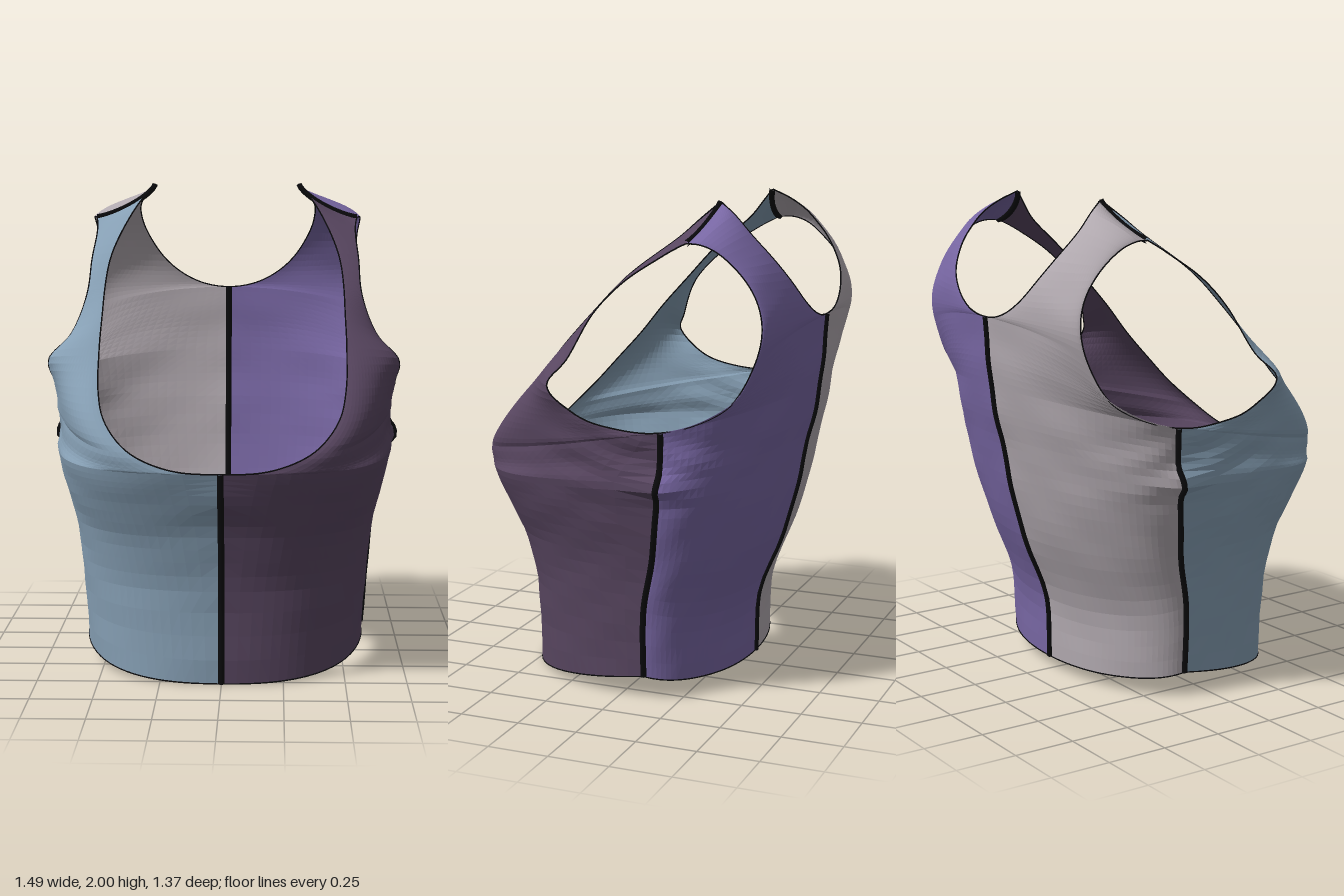
import * as THREE from 'three';

// Each row runs from the inner edge (centre line, then neckline)
// to the outer edge (side seam, then armhole): [inner xyz, outer xyz, roundness]
const FRONT = [
  [0, 0.01, 0.54, 0.59, 0.106, -0.11, 2.4],
  [0, 0.39, 0.54, 0.61, 0.39, -0.12, 2.6],
  [0, 0.62, 0.585, 0.64, 0.62, -0.17, 2.9],
  [0, 0.8, 0.652, 0.68, 0.8, -0.2, 3.3],
  [0, 0.89, 0.678, 0.705, 0.95, -0.225, 3.5],
  [0.2, 0.905, 0.675, 0.70, 1.06, -0.23, 2.75],
  [0.36, 0.97, 0.65, 0.715, 1.15, -0.235, 2.1],
  [0.46, 1.08, 0.56, 0.71, 1.147, -0.07, 2.05],
  [0.495, 1.2, 0.46, 0.71, 1.19, 0.116, 1.9],
  [0.5, 1.32, 0.35, 0.715, 1.3, 0.243, 1.6],
  [0.5, 1.45, 0.245, 0.63, 1.39, 0.196, 1.4],
  [0.495, 1.58, 0.125, 0.57, 1.56, 0.116, 1.3],
  [0.475, 1.72, -0.01, 0.56, 1.7, -0.02, 1.2],
  [0.41, 1.87, -0.2, 0.555, 1.8, -0.17, 1],
  [0.37, 1.935, -0.265, 0.558, 1.835, -0.23, 0.85],
  [0.315, 2, -0.33, 0.565, 1.86, -0.28, 0.75],
];
const BACK = [
  [0, 0.06, -0.385, 0, 0, 0, 1.95],
  [0, 0.32, -0.395, 0, 0, 0, 2],
  [0, 0.6, -0.5, 0, 0, 0, 2.05],
  [0, 0.82, -0.56, 0, 0, 0, 2.1],
  [0, 1.0, -0.595, 0, 0, 0, 2.1],
  [0, 1.14, -0.63, 0, 0, 0, 2.1],
  [0, 1.25, -0.645, 0, 0, 0, 2.1],
  [0, 1.36, -0.66, 0.68, 1.19, -0.38, 2.05],
  [0, 1.45, -0.665, 0.63, 1.26, -0.49, 1.95],
  [0, 1.533, -0.67, 0.595, 1.42, -0.575, 1.8],
  [0.13, 1.555, -0.67, 0.58, 1.55, -0.595, 1.7],
  [0.25, 1.625, -0.655, 0.575, 1.65, -0.575, 1.6],
  [0.345, 1.745, -0.6, 0.575, 1.75, -0.51, 1.5],
  [0.39, 1.89, -0.48, 0.58, 1.835, -0.41, 1.5],
  [0.36, 1.955, -0.405, 0.58, 1.86, -0.34, 1.4],
  [0.315, 2, -0.33, 0.565, 1.86, -0.28, 0.75],
];
// The back shares the side seam of the front
for (let i = 0; i < 7; i++) for (let k = 3; k < 6; k++) BACK[i][k] = FRONT[i][k];

const LAST = FRONT.length - 1, ROWS = LAST * 4, COLS = 24;
const ARMPIT = 6, FRONT_NECK = 4, BACK_NECK = 9;

// Cloth folds: faint waves, creases below the armhole, a pinch at the side seam
function addFolds(p) {
  const bell = (v, c, w) => Math.exp(-(((v - c) / w) ** 2));
  let d = 0.004 * Math.sin(p.y * 23 + p.z * 9) * Math.sin(p.x * 11 + p.z * 13 + p.y * 4);
  d += 0.01 * bell(p.y, 1.0, 0.16) * bell(p.z, -0.1, 0.3) * Math.sin(p.y * 45 - p.z * 14);
  p.z = -0.1 + (p.z + 0.1) * (1 + d);
  p.x *= 1 + d + 0.055 * bell(p.y, 0.92, 0.04) * bell(p.z, -0.17, 0.13) * bell(p.x, 0.72, 0.15);
  return p;
}

// An edge with a corner at one row: a lower line, then an opening whose
// curve continues smoothly into the neighbouring panel (lead)
function edgeCurve(points, corner, lead) {
  const lower = new THREE.CatmullRomCurve3(points.slice(0, corner + 1));
  const opening = new THREE.CatmullRomCurve3([...lead, ...points.slice(corner)]);
  const spans = lead.length + LAST - corner;
  return v => v <= corner
    ? lower.getPoint(v / corner)
    : opening.getPoint((v - corner + lead.length) / spans);
}

// Returns a function giving the point at row v (0..LAST) and column t (0..1)
function panelSurface(rows, otherRows, neck, side) {
  const innerPoints = rows.map(r => new THREE.Vector3(r[0], r[1], r[2]));
  const outerPoint = r => new THREE.Vector3(r[3], r[4], r[5]);
  const mirrored = innerPoints.slice(neck + 1).reverse()
    .map(p => new THREE.Vector3(-p.x, p.y, p.z));
  const inner = edgeCurve(innerPoints, neck, mirrored);
  const outer = edgeCurve(rows.map(outerPoint), ARMPIT,
    otherRows.slice(ARMPIT + 1).reverse().map(outerPoint));
  return (v, t) => {
    const a = inner(v), b = outer(v);
    const i = Math.min(Math.floor(v), LAST - 1);
    const n = THREE.MathUtils.lerp(rows[i][6], rows[i + 1][6], v - i);
    const f = t === 0 ? 0 : Math.sin(t * Math.PI / 2) ** (2 / n);
    const g = t === 1 ? 0 : Math.cos(t * Math.PI / 2) ** (2 / n);
    const p = addFolds(new THREE.Vector3(
      a.x + (b.x - a.x) * f, b.y + (a.y - b.y) * g, b.z + (a.z - b.z) * g));
    p.x *= side;
    return p;
  };
}

function panelGeometry(surface, flip) {
  const pos = [], idx = [];
  for (let r = 0; r <= ROWS; r++)
    for (let c = 0; c <= COLS; c++) pos.push(...surface(r * LAST / ROWS, c / COLS).toArray());
  for (let r = 0; r < ROWS; r++)
    for (let c = 0; c < COLS; c++) {
      const a = r * (COLS + 1) + c, b = a + 1, d = a + COLS + 1, e = d + 1;
      if (flip) idx.push(a, d, b, b, d, e);
      else idx.push(a, b, d, b, e, d);
    }
  const geo = new THREE.BufferGeometry();
  geo.setAttribute('position', new THREE.Float32BufferAttribute(pos, 3));
  geo.setIndex(idx);
  geo.computeVertexNormals();
  return geo;
}

export function createModel() {
  const model = new THREE.Group();
  model.name = 'sleevelessTop';
  const cloth = (name, color) => new THREE.MeshStandardMaterial(
    { name, color, flatShading: true, side: THREE.DoubleSide });
  const blue = cloth('slate blue', 0x869fb4);
  const plum = cloth('dark plum', 0x584660);
  const purple = cloth('purple', 0x7766a2);
  const grey = cloth('warm grey', 0xb0a8ae);
  const black = new THREE.MeshStandardMaterial({ name: 'black', color: 0x0a0a0c });

  // Piping that follows a line on a panel
  function piping(name, surface, from, to, radius) {
    const pts = [];
    const steps = Math.max(10, Math.round(Math.abs(to[0] - from[0]) * 4));
    for (let i = 0; i <= steps; i++) {
      const k = i / steps;
      pts.push(surface(from[0] + (to[0] - from[0]) * k, from[1] + (to[1] - from[1]) * k));
    }
    const path = new THREE.CatmullRomCurve3(pts);
    const mesh = new THREE.Mesh(new THREE.TubeGeometry(path, steps * 2, radius, 6), black);
    mesh.name = name;
    model.add(mesh);
  }

  const SEAM = 0.013, EDGE = 0.003;
  for (const side of [1, -1]) {
    const label = side > 0 ? 'left' : 'right';
    for (const [part, rows, otherRows, neck, material] of [
      ['Front', FRONT, BACK, FRONT_NECK, side > 0 ? plum : blue],
      ['Back', BACK, FRONT, BACK_NECK, side > 0 ? purple : grey],
    ]) {
      const surface = panelSurface(rows, otherRows, neck, side);
      const flip = (part === 'Front') !== (side > 0);
      const panel = new THREE.Mesh(panelGeometry(surface, flip), material);
      panel.name = label + part + 'Panel';
      model.add(panel);

      // Bound edges
      piping(label + part + 'Hem', surface, [0, 0], [0, 1], EDGE);
      piping(label + part + 'Neckline', surface, [neck, 0], [LAST, 0], EDGE);
      piping(label + part + 'Armhole', surface, [ARMPIT, 1], [LAST, 1], EDGE);

      // Seams between panels
      if (side > 0) piping('centre' + part + 'Seam', surface, [0, 0], [neck, 0], SEAM);
      if (part === 'Front') {
        piping(label + 'SideSeam', surface, [0, 1], [ARMPIT, 1], SEAM);
        piping(label + 'ShoulderSeam', surface, [LAST, 0], [LAST, 1], SEAM);
      }
    }
  }
  return model;
}
